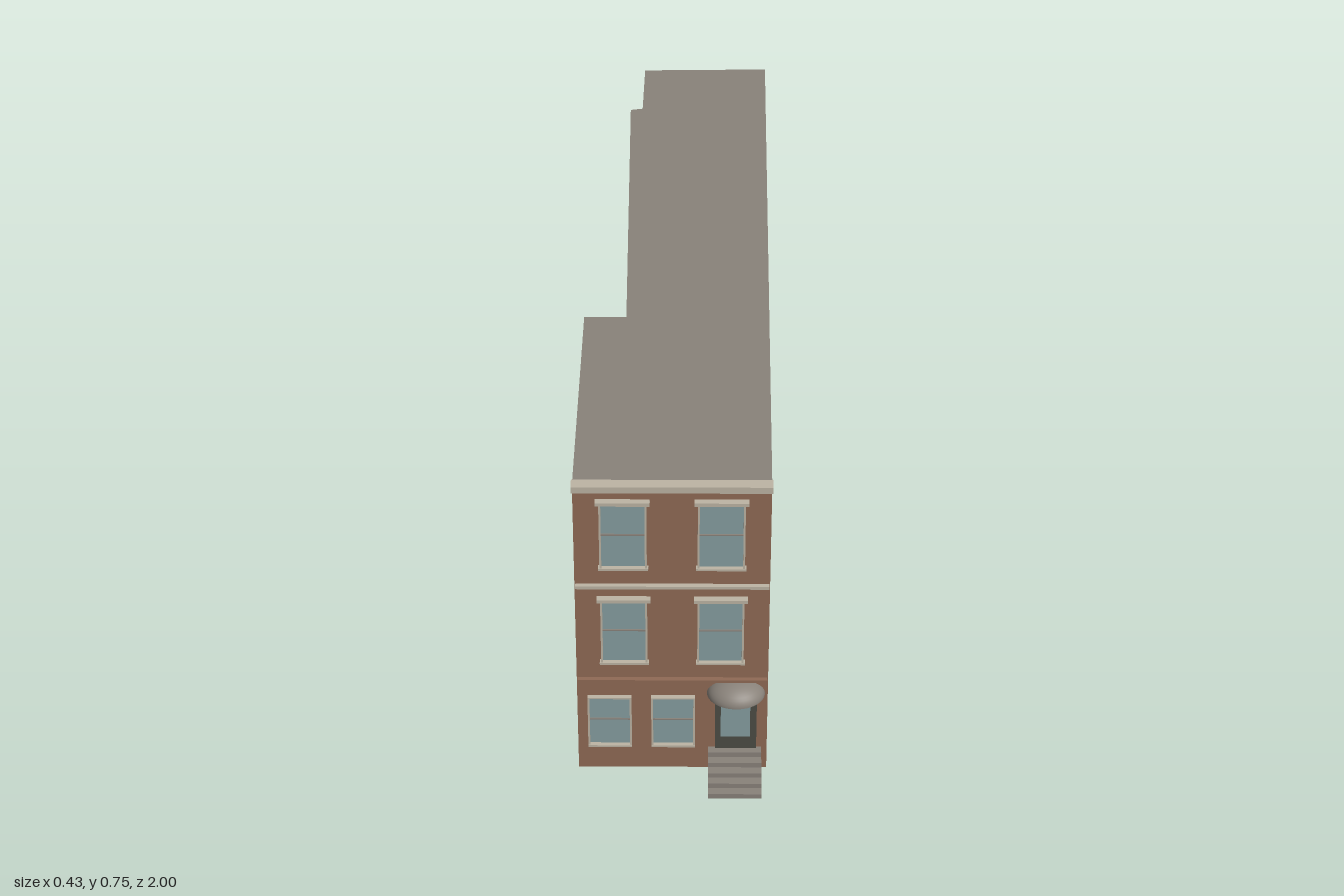
import * as THREE from 'three';

const mat = (name, color, side = THREE.FrontSide) => {
  const m = new THREE.MeshStandardMaterial({ color, side });
  m.name = name;
  return m;
};

export function createModel() {
  const brick = mat('brick', 0x8f6a55);
  const stone = mat('greyStone', 0x89827a, THREE.DoubleSide);
  const trim = mat('paleTrim', 0xbdb4a4);
  const glass = mat('glass', 0x869ea0);
  const dark = mat('darkDoor', 0x4c4c45);

  const model = new THREE.Group();
  model.name = 'rowHouse';
  const WALL = 0.897; // z of the street wall

  const add = (parent, name, geometry, material) => {
    const mesh = new THREE.Mesh(geometry, material);
    mesh.name = name;
    parent.add(mesh);
    return mesh;
  };
  // box given by its limits on each axis
  const box = (parent, name, material, x0, x1, y0, y1, z0, z1) => {
    const m = add(parent, name, new THREE.BoxGeometry(x1 - x0, y1 - y0, z1 - z0), material);
    m.position.set((x0 + x1) / 2, (y0 + y1) / 2, (z0 + z1) / 2);
    return m;
  };

  // main body: stepped footprint as (x, -z), grey roof and underside, brick sides
  const footprint = new THREE.Shape([
    [-0.217, -WALL], [0.19, -WALL], [0.215, 1], [-0.097, 0.993],
    [-0.1, 0.775], [-0.13, 0.768], [-0.12, -0.24], [-0.214, -0.24],
  ].map(([x, y]) => new THREE.Vector2(x, y)));
  const body = new THREE.ExtrudeGeometry(footprint, { depth: 0.745, bevelEnabled: false });
  body.rotateX(-Math.PI / 2);
  add(model, 'body', body, [stone, brick]);

  // cornice with a row of tapered brackets
  const cornice = new THREE.Group();
  cornice.name = 'cornice';
  model.add(cornice);
  box(cornice, 'corniceSlab', trim, -0.219, 0.192, 0.74, 0.755, 0.891, 0.918);
  const bracket = new THREE.ExtrudeGeometry(new THREE.Shape([
    [0, 0], [0.005, 0.001], [0.013, 0.012], [0, 0.012],
  ].map(([x, y]) => new THREE.Vector2(x, y))), { depth: 0.006, bevelEnabled: false });
  bracket.rotateY(-Math.PI / 2); // profile now runs along +z
  for (let i = 0; i < 20; i++) {
    add(cornice, 'bracket', bracket, trim).position.set(-0.199 + i * 0.0202, 0.729, WALL);
  }

  // belt courses
  box(model, 'upperBand', trim, -0.215, 0.188, 0.49, 0.497, 0.895, 0.908);
  box(model, 'lowerBand', brick, -0.215, 0.188, 0.242, 0.249, 0.895, 0.908);

  // sash window: pane, side frames, meeting rail, sill and head
  const makeWindow = (cx, y0, y1, halfWidth, grand) => {
    const g = new THREE.Group();
    g.name = 'window';
    model.add(g);
    const xl = cx - halfWidth, xr = cx + halfWidth, mid = (y0 + y1) / 2 + 0.003;
    box(g, 'pane', glass, xl, xr, y0, y1, 0.895, 0.9);
    for (const x of [xl, xr]) {
      box(g, 'sideFrame', trim, x - 0.002, x + 0.002, y0, y1, 0.895, 0.908);
    }
    box(g, 'meetingRail', stone, xl, xr, mid - 0.0015, mid + 0.0015, 0.895, 0.903);
    const out = grand ? 0.005 : 0.002;
    box(g, 'sill', trim, xl - out, xr + out, y0 - 0.005, y0, 0.895, 0.91);
    if (grand) {
      box(g, 'headMoulding', trim, xl - 0.006, xr + 0.006, y1, y1 + 0.004, 0.895, 0.908);
      box(g, 'lintel', trim, xl - 0.009, xr + 0.009, y1 + 0.003, y1 + 0.011, 0.895, 0.912);
    } else {
      box(g, 'head', trim, xl - 0.002, xr + 0.002, y1 - 0.002, y1 + 0.001, 0.895, 0.908);
    }
  };
  for (const cx of [-0.115, 0.088]) {
    makeWindow(cx, 0.544, 0.7, 0.047, true);
    makeWindow(cx, 0.297, 0.453, 0.047, true);
  }
  for (const cx of [-0.148, -0.012]) makeWindow(cx, 0.071, 0.199, 0.045, false);

  // door with a glass light
  const door = new THREE.Group();
  door.name = 'door';
  model.add(door);
  box(door, 'doorLeaf', dark, 0.078, 0.167, 0.058, 0.199, 0.895, 0.905);
  box(door, 'doorGlass', glass, 0.09, 0.153, 0.094, 0.18, 0.9, 0.907);

  // quarter-dome canopy over the door
  const canopy = new THREE.Group();
  canopy.name = 'canopy';
  canopy.position.set(0.122, 0.207, WALL);
  canopy.scale.set(0.062, 0.036, 0.056);
  model.add(canopy);
  add(canopy, 'canopyDome', new THREE.SphereGeometry(1, 24, 10, 0, Math.PI, 0, Math.PI / 2), stone);
  add(canopy, 'canopySoffit', new THREE.CircleGeometry(1, 24, 0, Math.PI).rotateX(Math.PI / 2), stone);

  // front steps, extruded from a stair profile
  const steps = 5, run = 0.1 / steps, rise = 0.06 / steps;
  const stair = new THREE.Shape();
  stair.moveTo(0, 0);
  stair.lineTo(0.1, 0);
  for (let i = 0; i < steps; i++) {
    stair.lineTo(0.1 - i * run, (i + 1) * rise);
    stair.lineTo(0.1 - (i + 1) * run, (i + 1) * rise);
  }
  const stairs = new THREE.ExtrudeGeometry(stair, { depth: 0.115, bevelEnabled: false });
  stairs.rotateY(-Math.PI / 2);
  add(model, 'frontSteps', stairs, stone).position.set(0.178, 0, 0.9);

  return model;
}
